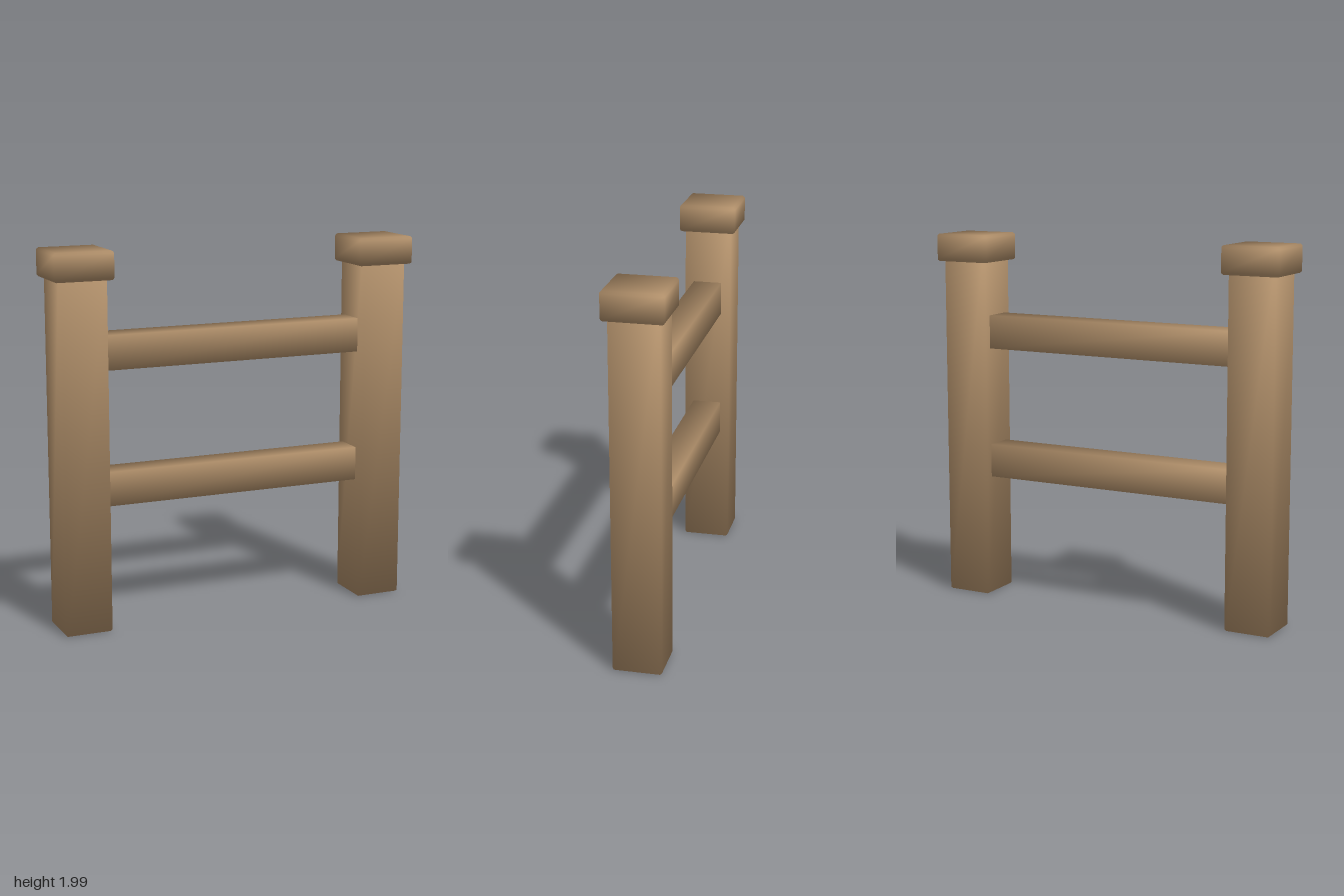
import * as THREE from 'three';
import { mergeVertices } from 'three/addons/utils/BufferGeometryUtils.js';

const wood = new THREE.MeshStandardMaterial({ color: 0xb08f6a, roughness: 0.9 });

// Timber block with narrow chamfers and soft normals shared across its edges
function timber(width, height, depth, bevel) {
  const segments = bevel > 0 ? 3 : 1;
  let geometry = new THREE.BoxGeometry(width, height, depth, segments, segments, segments);
  geometry.deleteAttribute('uv');
  geometry.deleteAttribute('normal');
  geometry = mergeVertices(geometry);
  const half = [width / 2, height / 2, depth / 2];
  const position = geometry.attributes.position;
  const normals = new Float32Array(position.count * 3);
  const normal = new THREE.Vector3();
  for (let i = 0; i < position.count; i++) {
    const p = [position.getX(i), position.getY(i), position.getZ(i)];
    const extreme = p.map((v, k) => Math.abs(v) > half[k] * 0.9);
    const count = extreme.filter(Boolean).length;
    // Faces stay put; edges and corners are pulled inward
    const inset = bevel * [0, 0, 0.4, 0.5][count];
    const q = p.map((v, k) => Math.sign(v) * (half[k] - (extreme[k] ? inset : bevel)));
    position.setXYZ(i, ...q);
    normal.set(...q.map(Math.sign)).normalize().toArray(normals, i * 3);
  }
  geometry.setAttribute('normal', new THREE.BufferAttribute(normals, 3));
  return geometry;
}

export function createModel() {
  const fence = new THREE.Group();
  fence.name = 'fence';

  function add(name, geometry, x, y) {
    const mesh = new THREE.Mesh(geometry, wood);
    mesh.name = name;
    mesh.position.set(x, y, 0);
    fence.add(mesh);
  }

  // Square posts with overhanging caps
  const post = timber(0.255, 1.845, 0.255, 0.012);
  const cap = timber(0.315, 0.147, 0.31, 0.012);
  for (const [side, sign] of [['left', 1], ['right', -1]]) {
    add(side + 'Post', post, sign * 0.8425, 1.845 / 2);
    add(side + 'PostCap', cap, sign * 0.8425, 1.9115);
  }

  // Two horizontal rails, set slightly into the posts
  const rail = timber(1.46, 0.18, 0.155, 0);
  add('lowerRail', rail, 0, 0.75);
  add('upperRail', rail, 0, 1.46);

  return fence;
}
